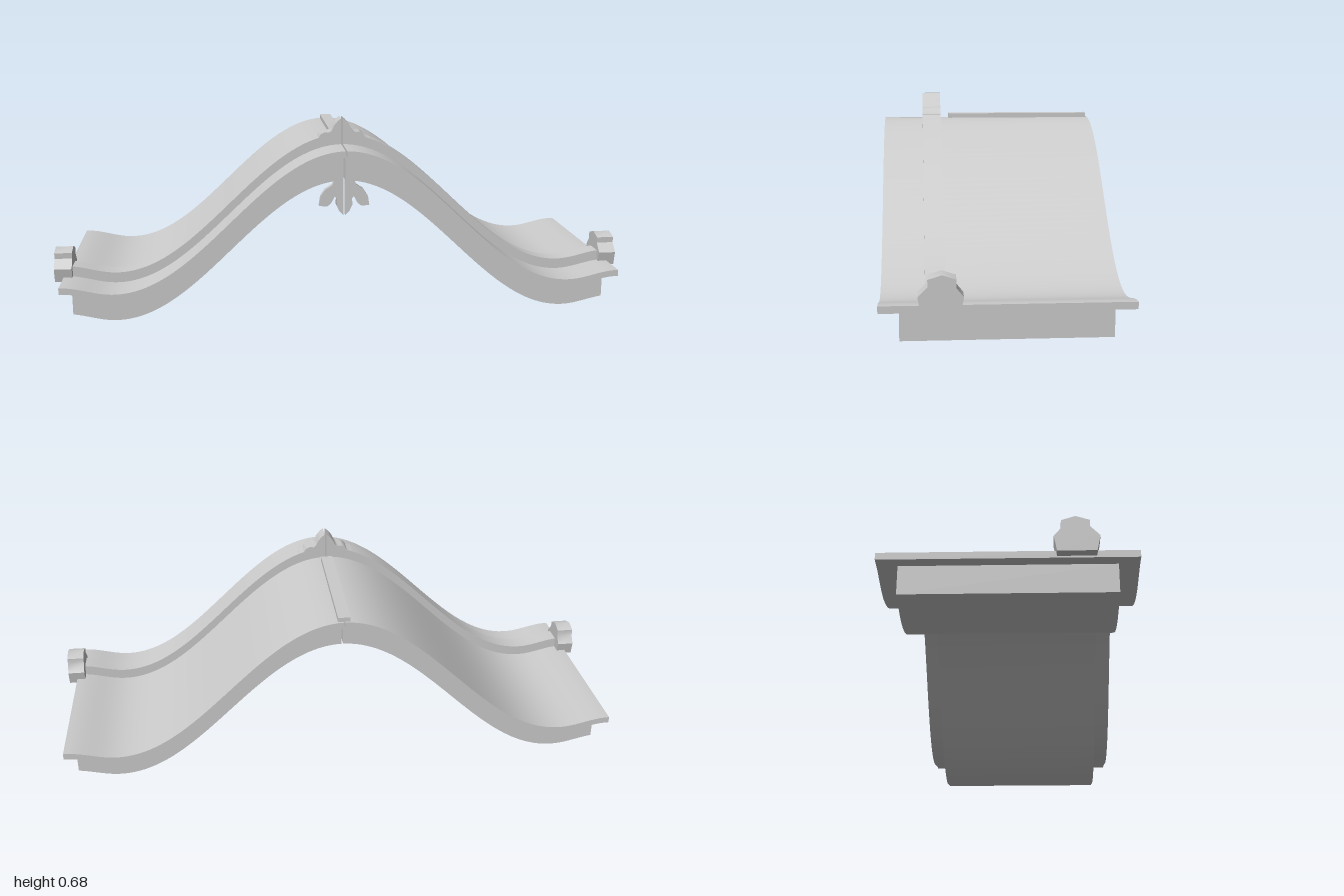
import * as THREE from 'three';
import { toCreasedNormals } from 'three/addons/utils/BufferGeometryUtils.js';

const TROUGH = 0.787, GAP = 0.003, STEPS = 56;

// Ogee curve of the roof surface: crest at x = 0, trough, then a small upturned lip
const height = (x) => (x < TROUGH
  ? 0.112 + 0.2375 * (1 + Math.cos(Math.PI * x / TROUGH))
  : 0.112 + 0.0142 * (1 - Math.cos(Math.PI * (x - TROUGH) / 0.18)));

const curve = (rise, xEnd) => Array.from({ length: STEPS + 1 }, (_, i) => {
  const x = GAP + (xEnd - GAP) * i / STEPS;
  return [x, height(x) + rise];
});

// Closed band between two raised or lowered copies of the curve
const band = (low, high, xEnd) => [...curve(low, xEnd), ...curve(high, xEnd).reverse()];

// Half outline of the crest ornament above the rib
const finial = [
  [GAP, 0.585], [0.1, 0.565], [0.1, 0.605], [0.082, 0.609], [0.075, 0.622], [0.06, 0.63],
  [0.045, 0.628], [0.036, 0.635], [0.028, 0.652], [0.015, 0.668], [GAP, 0.677],
];

// Half outline of the hanging leaf ornament
const pendant = [
  [GAP, 0.485], [0.032, 0.48], [0.042, 0.458], [0.067, 0.442], [0.082, 0.418], [0.087, 0.386],
  [0.06, 0.383], [0.046, 0.394], [0.033, 0.418], [0.027, 0.41], [0.028, 0.388],
  [0.018, 0.366], [GAP, 0.352],
];

// End block outline as (z, y)
const endBlock = [
  [0.138, 0.124], [0.25, 0.124], [0.26, 0.172], [0.231, 0.202], [0.232, 0.222],
  [0.191, 0.235], [0.15, 0.222], [0.15, 0.197], [0.129, 0.171],
];

export function createModel() {
  const group = new THREE.Group();
  const material = new THREE.MeshStandardMaterial({ color: 0xcccccc, side: THREE.DoubleSide });

  const add = (name, geometry) => {
    const mesh = new THREE.Mesh(geometry, material);
    mesh.name = name;
    group.add(mesh);
    return mesh;
  };
  const extrude = (points, depth) => toCreasedNormals(new THREE.ExtrudeGeometry(
    new THREE.Shape(points.map(([x, y]) => new THREE.Vector2(x, y))),
    { depth, bevelEnabled: false },
  ), 0.8);
  const slab = (name, points, side, z0, z1) => add(name,
    extrude(points.map(([x, y]) => [x * side, y]), z1 - z0).translate(0, 0, z0));

  // Two mirrored halves with a fine seam at the crest
  for (const [label, side] of [['left', 1], ['right', -1]]) {
    slab(`${label}RoofPanel`, band(-0.022, 0, 0.97), side, -0.373, 0.373);
    slab(`${label}Underbeam`, band(-0.112, -0.022, 0.935), side, -0.313, 0.313);
    slab(`${label}Rib`, band(0, 0.036, 0.945), side, 0.172, 0.237);
    slab(`${label}Finial`, finial, side, 0.172, 0.237);
    slab(`${label}Pendant`, pendant, side, 0.288, 0.31);

    // Faceted block closing the rib at the eave
    add(`${label}EndBlock`, extrude(endBlock, 0.06)
      .rotateY(-Math.PI / 2)
      .translate(side > 0 ? 1 : -0.94, 0, 0));
  }

  // Cap strip covering the seam behind the rib
  add('ridgeCap', new THREE.BoxGeometry(0.042, 0.022, 0.508)).position.set(0, 0.591, -0.112);

  return group;
}
